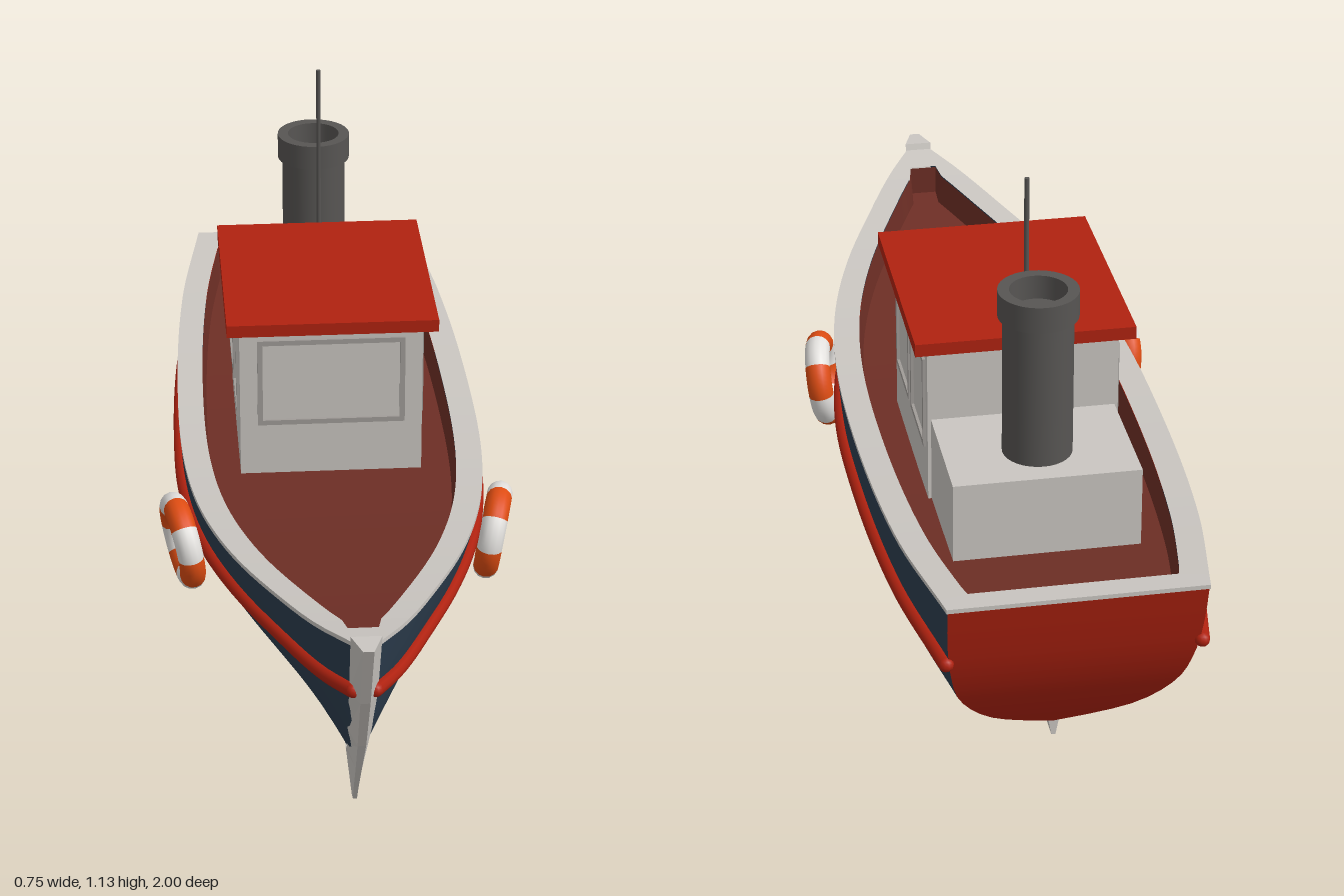
import * as THREE from 'three';

const paint = (name, color, side = THREE.FrontSide) => {
  const m = new THREE.MeshStandardMaterial({ color, side });
  m.name = name;
  return m;
};

// Smooth curve through keyed values
const keyed = (xs, ys) => {
  const c = new THREE.CubicInterpolant(xs, ys, 1);
  return t => c.evaluate(THREE.MathUtils.clamp(t, xs[0], xs[xs.length - 1]))[0];
};

// Surface from fn(i, j) -> [x, y, z] on a rows x cols lattice
function grid(rows, cols, fn, flat = false) {
  const pos = [], idx = [];
  for (let i = 0; i <= rows; i++) for (let j = 0; j <= cols; j++) pos.push(...fn(i, j));
  for (let i = 0; i < rows; i++) for (let j = 0; j < cols; j++) {
    const a = i * (cols + 1) + j, b = a + cols + 1;
    idx.push(a, b, a + 1, b, b + 1, a + 1);
  }
  let g = new THREE.BufferGeometry();
  g.setAttribute('position', new THREE.Float32BufferAttribute(pos, 3));
  g.setIndex(idx);
  if (flat) g = g.toNonIndexed();
  g.computeVertexNormals();
  return g;
}

// Hull lines: u runs stern to bow, v runs keel to sheer
const V = [0, 0.07, 0.2, 0.4, 0.6, 0.8, 1];
const zBow = keyed(V, [0.58, 0.66, 0.745, 0.82, 0.875, 0.917, 0.95]);
const zStern = keyed(V, [-0.77, -0.8, -0.855, -0.915, -0.955, -0.98, -1]);
const fullShape = keyed(V, [0, 0.27, 0.58, 0.85, 0.95, 0.99, 1]);
const bowShape = keyed(V, [0, 0.15, 0.35, 0.58, 0.75, 0.89, 1]);
const beam = keyed([0, 0.154, 0.41, 0.564, 0.667, 0.77, 0.872, 0.949, 1],
  [0.25, 0.297, 0.322, 0.313, 0.285, 0.23, 0.15, 0.08, 0.02]);
const sheer = keyed([-1, -0.6, 0, 0.4, 0.8, 0.95], [0.505, 0.475, 0.458, 0.475, 0.518, 0.545]);
const stripeY = keyed([-1, 0, 0.3, 0.6, 0.8, 0.9], [0.365, 0.355, 0.36, 0.376, 0.395, 0.415]);
const KEEL = 0.07;

function hullPoint(u, v) {
  const z = THREE.MathUtils.lerp(zStern(v), zBow(v), u);
  const y = THREE.MathUtils.lerp(KEEL, sheer(z), v);
  const k = THREE.MathUtils.smoothstep(u, 0.45, 1);
  return [beam(u) * THREE.MathUtils.lerp(fullShape(v), bowShape(v), k), y, z];
}

// Inner edge of the rail, and the deck edge below it
function innerPoint(u, drop) {
  const z = THREE.MathUtils.clamp(-1 + 1.95 * u, drop ? -0.91 : -0.945, 0.87);
  return [Math.max(beam(u) - (drop ? 0.062 : 0.054), 0.03), sheer(z) - drop, z];
}

export function createModel() {
  const boat = new THREE.Group();
  boat.name = 'fishingBoat';
  const navy = paint('navyHull', 0x2d3e4f, THREE.DoubleSide);
  const red = paint('redPaint', 0xb02210, THREE.DoubleSide);
  const trim = paint('paleGreyPaint', 0xcac6c1, THREE.DoubleSide);
  const brown = paint('brownDeck', 0x6d2e25, THREE.DoubleSide);
  const frameGrey = paint('windowFrameGrey', 0xa09c98);
  const dark = paint('darkMetal', 0x575553, THREE.DoubleSide);
  const orange = paint('ringOrange', 0xdd4c12);
  const white = paint('ringWhite', 0xe2e0dd);

  const add = (name, geo, mat, x = 0, y = 0, z = 0, parent = boat) => {
    const m = new THREE.Mesh(geo, mat);
    m.name = name;
    m.position.set(x, y, z);
    parent.add(m);
    return m;
  };

  // Hull shell and transom
  const N = 48, M = 16;
  add('hull', grid(N, 2 * M, (i, j) => {
    const s = (j - M) / M;
    const [x, y, z] = hullPoint(i / N, Math.abs(s));
    return [-Math.sign(s) * x, y, z];
  }), navy);
  add('transom', grid(M, 2, (i, j) => {
    const [x, y, z] = hullPoint(0, i / M);
    return [x * (1 - j), y, z];
  }), red);

  // Rail, bulwark lining and deck, following one loop around the sheer
  const loop = i => {
    const k = i % (2 * N + 2), left = k <= N;
    return { u: (left ? k : 2 * N + 1 - k) / N, s: left ? 1 : -1 };
  };
  const around = 2 * N + 2;
  add('rail', grid(around, 2, (i, j) => {
    const { u, s } = loop(i);
    const [x, y, z] = j < 2 ? hullPoint(u, 1) : innerPoint(u, 0);
    return [s * (x + (j < 2 ? 0.002 : 0)), y + (j ? 0.003 : -0.006), z];
  }, true), trim);
  add('bulwarkLining', grid(around, 1, (i, j) => {
    const { u, s } = loop(i);
    const [x, y, z] = innerPoint(u, j * 0.065);
    return [s * x, y, z];
  }), brown);
  add('deck', grid(N, 2, (i, j) => {
    const [x, y, z] = innerPoint(i / N, 0.065);
    return [x * (j - 1), y, z];
  }), brown);

  // Stem and keel: [outer z, outer y, inner z, inner y, half width]
  const stem = [
    [1, 0.56, 0.945, 0.56, 0.03], [0.93, 0.4, 0.885, 0.4, 0.028],
    [0.85, 0.25, 0.8, 0.26, 0.024], [0.78, 0.15, 0.7, 0.15, 0.018],
    [0.715, 0.06, 0.62, 0.09, 0.014], [0.685, 0.012, 0.59, 0.08, 0.012],
    [0.655, 0.003, 0.57, 0.08, 0.012], [0.3, 0.03, 0.3, 0.08, 0.012],
    [-0.77, 0.037, -0.77, 0.08, 0.012],
  ];
  const stemPoint = (i, j) => {
    const [zo, yo, zi, yi, w] = stem[i], outer = j % 4 > 1;
    const x = (j % 4 === 0 || j % 4 === 3 ? 1 : -1) * w * (outer ? 0.35 : 1);
    return outer ? [x, yo, zo] : [x, yi, zi];
  };
  add('stemAndKeel', grid(stem.length - 1, 4, stemPoint, true), trim);
  for (const [name, i] of [['stemHead', 0], ['keelEnd', stem.length - 1]])
    add(name, grid(1, 1, (a, b) => stemPoint(i, a ? 3 - b : b), true), trim);

  // Rubbing strake along each side
  for (const s of [1, -1]) {
    const pts = [];
    for (let i = 0; i <= 24; i++) {
      const u = i / 24, z = -0.97 + 1.87 * u;
      const [x, y, zz] = hullPoint(u, (stripeY(z) - KEEL) / (sheer(z) - KEEL));
      pts.push(new THREE.Vector3(s * (x + 0.005), y, zz));
    }
    add('strake', new THREE.TubeGeometry(new THREE.CatmullRomCurve3(pts), 64, 0.015, 10), red);
    for (const p of [pts[0], pts[24]]) add('strakeEnd', new THREE.SphereGeometry(0.015, 10, 8), red, p.x, p.y, p.z);
  }

  // Wheelhouse, roof and engine casing
  add('wheelhouse', new THREE.BoxGeometry(0.39, 0.37, 0.424), trim, 0, 0.565, -0.212);
  add('roof', new THREE.BoxGeometry(0.446, 0.027, 0.51), red, 0, 0.761, -0.2);
  add('engineCasing', new THREE.BoxGeometry(0.376, 0.205, 0.27), trim, 0, 0.4825, -0.555);

  // Window frames with plain panes
  const rect = (P, w, h) => {
    const p = new P();
    p.moveTo(-w / 2, -h / 2).lineTo(w / 2, -h / 2).lineTo(w / 2, h / 2).lineTo(-w / 2, h / 2).closePath();
    return p;
  };
  const addWindow = (w, x, z, turn) => {
    const h = 0.2, shape = rect(THREE.Shape, w, h);
    shape.holes.push(rect(THREE.Path, w - 0.022, h - 0.022));
    const geo = new THREE.ExtrudeGeometry(shape, { depth: 0.006, bevelEnabled: false });
    add('windowFrame', geo, frameGrey, x, 0.612, z).rotation.y = turn;
  };
  addWindow(0.315, 0, 0, 0);
  for (const s of [1, -1]) for (const z of [-0.124, -0.318]) addWindow(0.17, s * 0.195, z, s * Math.PI / 2);

  // Funnel with collar and hollow top, and the mast
  const profile = [[0.07, 0.57], [0.07, 0.885], [0.08, 0.885], [0.08, 0.94], [0.057, 0.94], [0.057, 0.89], [0, 0.89]];
  for (let i = 0; i < profile.length - 1; i++) {
    const seg = [profile[i], profile[i + 1]].map(p => new THREE.Vector2(...p));
    add('funnel', new THREE.LatheGeometry(seg, 32), dark, 0, 0, -0.575);
  }
  add('mast', new THREE.CylinderGeometry(0.005, 0.005, 0.56, 10), dark, 0.005, 0.85, -0.475);

  // Striped life rings, one on each side
  for (const s of [1, -1]) {
    const side = new THREE.Group(), ring = new THREE.Group();
    side.name = s > 0 ? 'leftLifeRing' : 'rightLifeRing';
    side.scale.x = s;
    ring.name = 'lifeRing';
    ring.position.set(0.328, 0.352, 0.207);
    ring.rotation.set(0, -0.2, -0.15);
    for (let k = 0; k < 8; k++) {
      const geo = new THREE.TorusGeometry(0.078, 0.027, 14, 8, Math.PI / 4);
      geo.rotateZ(k * Math.PI / 4).rotateY(-Math.PI / 2);
      add('ringSegment', geo, k % 2 ? orange : white, 0, 0, 0, ring);
    }
    side.add(ring);
    boat.add(side);
  }
  return boat;
}
